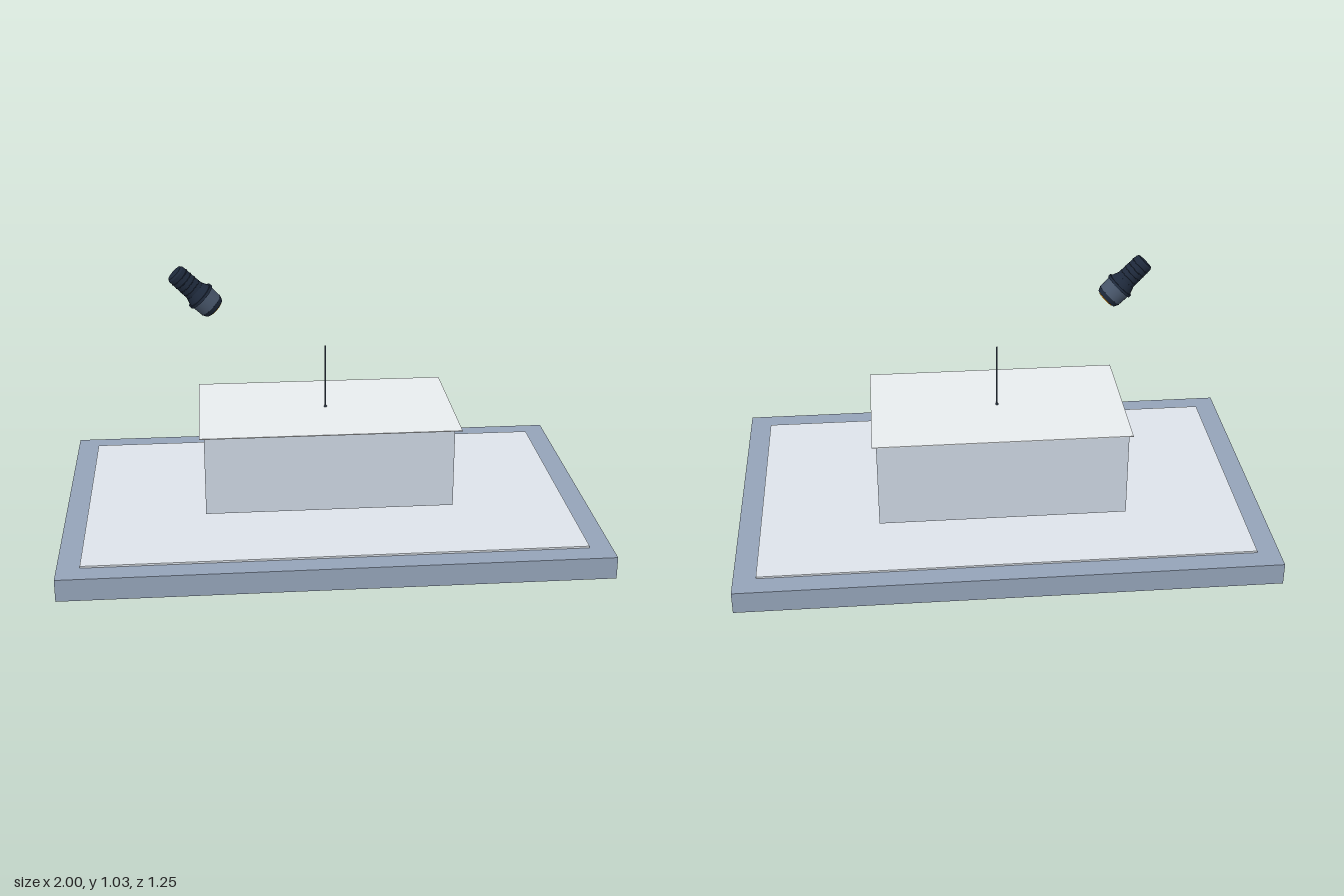
import * as THREE from 'three';

const mat = (color) => new THREE.MeshStandardMaterial({ color });

function addMesh(parent, name, geometry, material, x = 0, y = 0, z = 0) {
  const mesh = new THREE.Mesh(geometry, material);
  mesh.name = name;
  mesh.position.set(x, y, z);
  parent.add(mesh);
  return mesh;
}

// Box given by its size, bottom height and centre in z
function addBox(parent, name, w, h, d, bottom, z, material) {
  return addMesh(parent, name, new THREE.BoxGeometry(w, h, d), material, 0, bottom + h / 2, z);
}

// Torch built along +y from tail to lens, then aimed from one point to another
function createTorch(tail, lens) {
  const torch = new THREE.Group();
  torch.name = 'torch';
  const dark = mat(0x1e293b), steel = mat(0x475569), amber = mat(0xf59e0b);
  // name, start, end, start radius, end radius, material
  const sections = [
    ['tailCap', 0, 0.008, 0.032, 0.037, dark],
    ['handle', 0.008, 0.1, 0.037, 0.039, dark],
    ['flare', 0.1, 0.126, 0.04, 0.05, dark],
    ['collar', 0.126, 0.136, 0.056, 0.056, dark],
    ['head', 0.136, 0.182, 0.051, 0.049, steel],
    ['bezel', 0.182, 0.2, 0.05, 0.042, dark],
    ['lens', 0.196, 0.204, 0.034, 0.034, amber],
  ];
  for (const [name, a, b, ra, rb, material] of sections) {
    addMesh(torch, name, new THREE.CylinderGeometry(rb, ra, b - a, 24), material, 0, (a + b) / 2, 0);
  }
  // Grip rings around the handle
  for (let i = 0; i < 4; i++) {
    const ring = addMesh(torch, 'gripRing', new THREE.TorusGeometry(0.038, 0.0015, 6, 24), dark, 0, 0.025 + i * 0.02, 0);
    ring.rotation.x = Math.PI / 2;
  }
  torch.position.copy(tail);
  torch.quaternion.setFromUnitVectors(new THREE.Vector3(0, 1, 0), lens.clone().sub(tail).normalize());
  return torch;
}

export function createModel() {
  const model = new THREE.Group();
  model.name = 'sundialModel';
  const metal = mat(0x475569);

  // Base board with a thin sheet on top
  addBox(model, 'base', 2, 0.084, 1.25, 0, 0, mat(0x94a3b8));
  addBox(model, 'sheet', 1.834, 0.007, 1.084, 0.084, 0, mat(0xdde3ea));

  // Raised block, flush with its top plate at the back and set in at the front
  addBox(model, 'block', 0.936, 0.33, 0.5, 0.12, -0.033, mat(0xcbd5e1));
  addBox(model, 'topPlate', 0.968, 0.003, 0.566, 0.45, 0, mat(0xe8ecee));

  // Upright pin with a small foot
  addMesh(model, 'pin', new THREE.CylinderGeometry(0.0025, 0.0025, 0.25, 12), metal, 0, 0.576, 0);
  addMesh(model, 'pinFoot', new THREE.CylinderGeometry(0.005, 0.006, 0.005, 16), metal, 0, 0.4545, 0);

  // Torch floating above, pointing down at the block
  model.add(createTorch(new THREE.Vector3(-0.556, 1.012, 0.042), new THREE.Vector3(-0.412, 0.868, 0.031)));
  return model;
}
